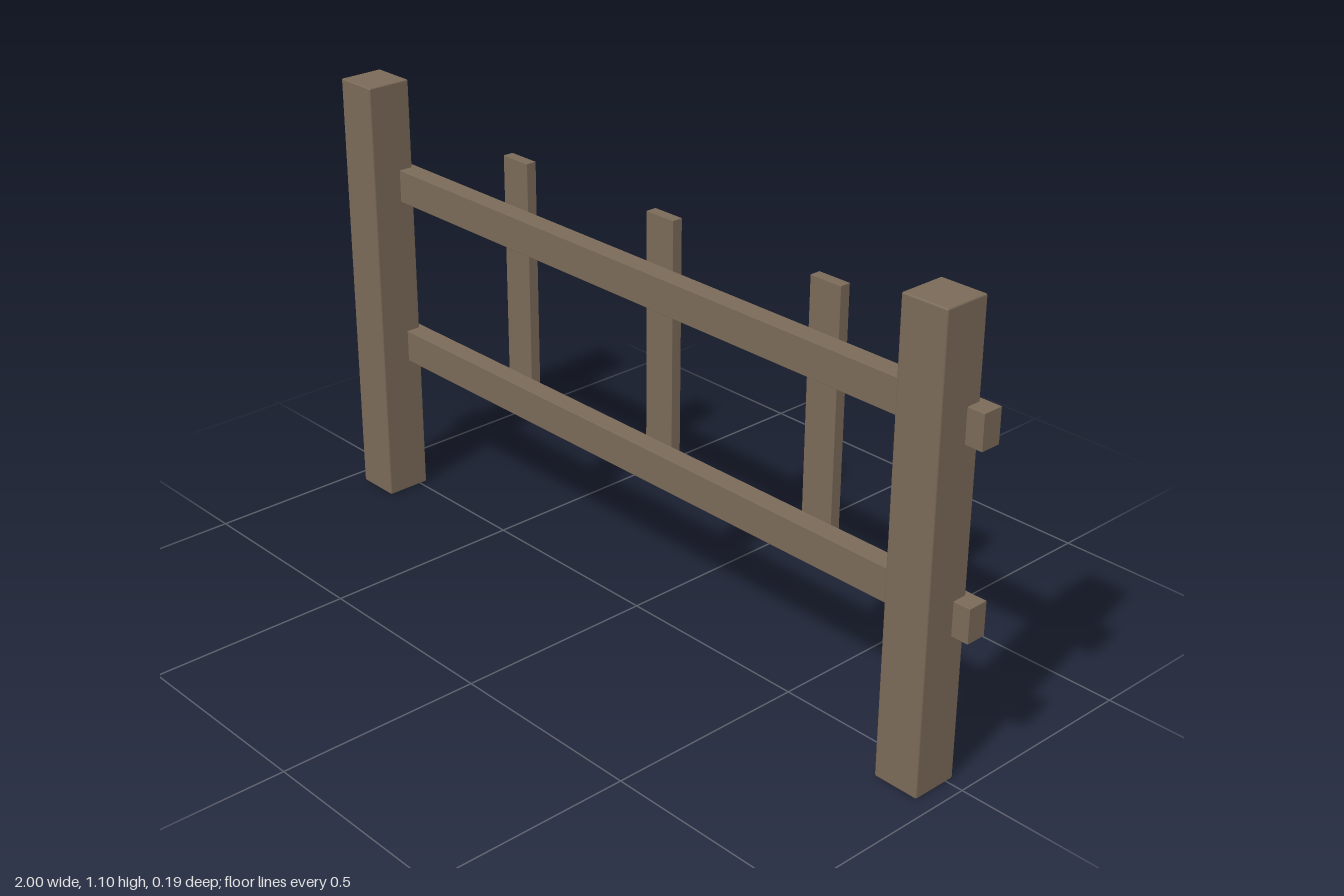
import * as THREE from 'three';
import { RoundedBoxGeometry } from 'three/addons/geometries/RoundedBoxGeometry.js';

export function createModel() {
  const fence = new THREE.Group();
  fence.name = 'fence';
  const wood = new THREE.MeshStandardMaterial({ color: 0x7a6a58 });
  wood.name = 'weathered wood';

  // A timber with slightly eased edges
  function timber(name, size, position, edge) {
    const mesh = new THREE.Mesh(new RoundedBoxGeometry(...size, 1, edge), wood);
    mesh.name = name;
    mesh.position.set(...position);
    fence.add(mesh);
  }

  // Square end posts
  for (const [side, x] of [['left', 0.9], ['right', -0.9]])
    timber(`${side}Post`, [0.115, 1.096, 0.115], [x, 0.548, 0.038], 0.004);

  // Horizontal rails running past the posts
  for (const [level, y] of [['lower', 0.401], ['upper', 0.831]])
    timber(`${level}Rail`, [2, 0.082, 0.051], [0, y, -0.007], 0.001);

  // Upright slats behind the rails
  for (const [place, x] of [['right', -0.5], ['middle', 0], ['left', 0.5]])
    timber(`${place}Slat`, [0.086, 0.575, 0.027], [x, 0.681, -0.082], 0.001);

  return fence;
}
